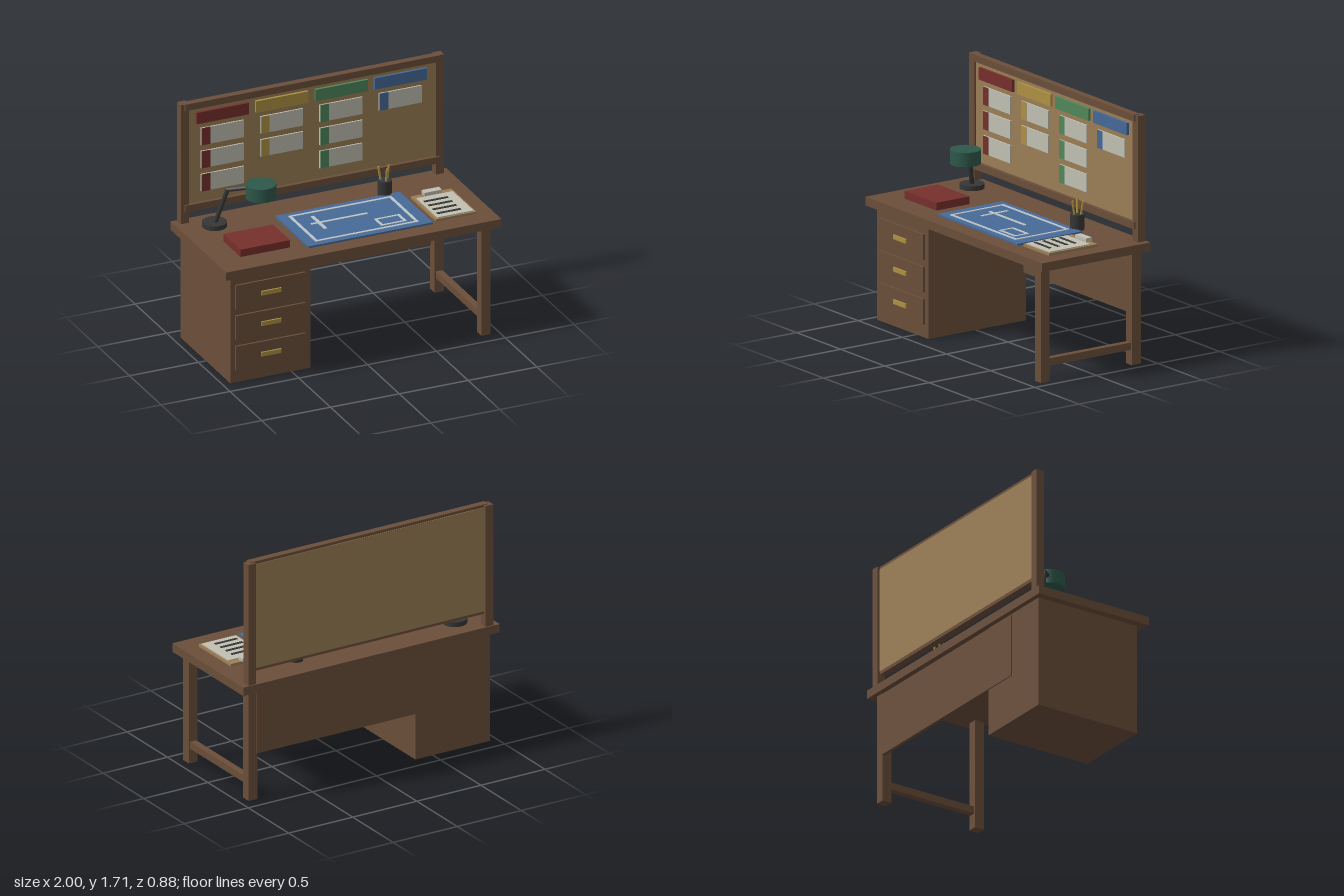
import * as THREE from 'three';

const mat = (name, color) => {
  const m = new THREE.MeshStandardMaterial({ color });
  m.name = name;
  return m;
};

export function createModel() {
  const wood = mat('wood', 0x6b4e3a), cork = mat('cork', 0x9c7e56);
  const red = mat('red', 0x76302c), yellow = mat('yellow', 0xae9142);
  const green = mat('green', 0x4f875a), blue = mat('blue', 0x466a98);
  const paper = mat('paper', 0xc2c0b2), dark = mat('darkMetal', 0x363636);
  const shadeGreen = mat('lampGreen', 0x2d584a), line = mat('lineWhite', 0xb9c4cc);

  const model = new THREE.Group();
  model.name = 'planningDesk';
  const group = (name) => {
    const g = new THREE.Group();
    g.name = name;
    model.add(g);
    return g;
  };
  const add = (parent, name, geometry, material) => {
    const mesh = new THREE.Mesh(geometry, material);
    mesh.name = name;
    parent.add(mesh);
    return mesh;
  };
  // Box given by its lower and upper bounds on each axis
  const box = (parent, name, material, x0, x1, y0, y1, z0, z1) => {
    const mesh = add(parent, name, new THREE.BoxGeometry(x1 - x0, y1 - y0, z1 - z0), material);
    mesh.position.set((x0 + x1) / 2, (y0 + y1) / 2, (z0 + z1) / 2);
    return mesh;
  };
  const cylinder = (parent, name, material, r, y0, y1, x, z, sides) => {
    const geo = new THREE.CylinderGeometry(r, r, y1 - y0, sides);
    const mesh = add(parent, name, geo, material);
    mesh.position.set(x, (y0 + y1) / 2, z);
    return mesh;
  };
  // Round bar between two points
  const rod = (parent, name, material, a, b, r, sides) => {
    const from = new THREE.Vector3(...a), dir = new THREE.Vector3(...b).sub(from);
    const mesh = add(parent, name, new THREE.CylinderGeometry(r, r, dir.length(), sides), material);
    mesh.position.copy(from).addScaledVector(dir, 0.5);
    mesh.quaternion.setFromUnitVectors(new THREE.Vector3(0, 1, 0), dir.normalize());
    return mesh;
  };

  // Desk body
  const desk = group('desk');
  box(desk, 'desktop', wood, -1, 1, 0.78, 0.84, -0.44, 0.44);
  box(desk, 'pedestal', wood, -0.945, -0.363, 0, 0.78, -0.405, 0.385);
  box(desk, 'modestyPanel', wood, -0.635, 0.875, 0.33, 0.77, -0.413, -0.388);
  for (const z of [-0.37, 0.37]) box(desk, 'leg', wood, 0.87, 0.937, 0, 0.78, z - 0.036, z + 0.036);
  box(desk, 'stretcher', wood, 0.88, 0.927, 0.104, 0.154, -0.34, 0.34);

  // Drawers with handles
  const drawers = group('drawers');
  for (let i = 0; i < 3; i++) {
    const y = 0.178 + i * 0.222;
    box(drawers, 'drawerFront', wood, -0.91, -0.405, y - 0.088, y + 0.088, 0.38, 0.4);
    box(drawers, 'drawerHandle', yellow, -0.73, -0.585, y - 0.015, y + 0.015, 0.395, 0.412);
  }

  // Pinboard frame
  const board = group('pinboard');
  for (const x of [-0.927, 0.925]) box(board, 'boardPost', wood, x - 0.03, x + 0.03, 0.84, 1.706, -0.43, -0.37);
  box(board, 'topRail', wood, -0.93, 0.925, 1.663, 1.71, -0.408, -0.358);
  box(board, 'bottomRail', wood, -0.93, 0.925, 0.925, 0.973, -0.408, -0.358);
  box(board, 'corkSheet', cork, -0.92, 0.92, 0.945, 1.69, -0.412, -0.385);

  // Category headers and their cards
  const columns = [[red, 3], [yellow, 2], [green, 3], [blue, 1]];
  columns.forEach(([colour, count], i) => {
    const x = -0.652 + i * 0.431;
    box(board, 'header', colour, x - 0.19, x + 0.19, 1.547, 1.63, -0.386, -0.366);
    for (let j = 0; j < count; j++) {
      const y = 1.446 - j * 0.168;
      box(board, 'card', paper, x - 0.155, x + 0.155, y - 0.062, y + 0.062, -0.386, -0.374);
      box(board, 'cardStripe', colour, x - 0.15, x - 0.09, y - 0.062, y + 0.062, -0.378, -0.371);
    }
  });

  // Desk lamp
  const lamp = group('lamp');
  const elbow = [-0.7, 1.12, -0.19];
  cylinder(lamp, 'lampBase', dark, 0.083, 0.84, 0.873, -0.765, -0.256, 20);
  rod(lamp, 'lowerArm', dark, [-0.763, 0.86, -0.254], elbow, 0.016, 10);
  rod(lamp, 'upperArm', dark, elbow, [-0.54, 1.175, -0.045], 0.016, 10);
  add(lamp, 'elbow', new THREE.SphereGeometry(0.017, 10, 8), dark).position.set(...elbow);
  cylinder(lamp, 'lampShade', shadeGreen, 0.103, 1.1, 1.197, -0.53, -0.034, 20);

  // Pencil cup
  const cup = group('pencilCup');
  cylinder(cup, 'cup', dark, 0.048, 0.84, 0.947, 0.46, -0.232, 16);
  for (const [dx, dz] of [[-0.035, -0.025], [0.04, -0.02], [0, 0.038]]) {
    rod(cup, 'pencil', yellow, [0.46 + dx * 0.3, 0.86, -0.232 + dz * 0.3],
      [0.46 + dx, 1.04, -0.232 + dz], 0.008, 6);
  }

  // Book
  const book = group('book');
  box(book, 'bookCover', red, -0.812, -0.452, 0.84, 0.893, -0.012, 0.258);
  box(book, 'bookPages', paper, -0.8, -0.464, 0.846, 0.868, -0.016, 0.1);

  // Drawing sheet with raised line work
  const sheet = group('drawingSheet');
  box(sheet, 'sheet', blue, -0.347, 0.557, 0.84, 0.853, -0.205, 0.322);
  const stroke = (x0, x1, z0, z1) => box(sheet, 'drawnLine', line, x0, x1, 0.852, 0.857, z0, z1);
  const frame = (x0, x1, z0, z1, t) => {
    stroke(x0, x1, z0, z0 + t);
    stroke(x0, x1, z1 - t, z1);
    stroke(x0, x0 + t, z0 + t, z1 - t);
    stroke(x1 - t, x1, z0 + t, z1 - t);
  };
  frame(-0.275, 0.475, -0.16, 0.278, 0.02);
  frame(0.222, 0.407, 0.117, 0.235, 0.018);
  stroke(-0.142, -0.118, -0.092, 0.122);
  stroke(-0.187, -0.142, 0.005, 0.027);
  stroke(-0.118, 0.222, 0.005, 0.027);

  // Clipboard
  const clip = group('clipboard');
  box(clip, 'clipboardBack', cork, 0.59, 0.882, 0.84, 0.858, -0.097, 0.298);
  box(clip, 'clipboardPaper', paper, 0.605, 0.868, 0.857, 0.864, -0.045, 0.286);
  box(clip, 'clip', paper, 0.672, 0.797, 0.858, 0.882, -0.11, -0.06);
  for (let i = 0; i < 4; i++) {
    const z = 0.028 + i * 0.0675;
    box(clip, 'writtenLine', dark, 0.627, 0.8, 0.863, 0.867, z - 0.011, z + 0.011);
  }

  return model;
}
